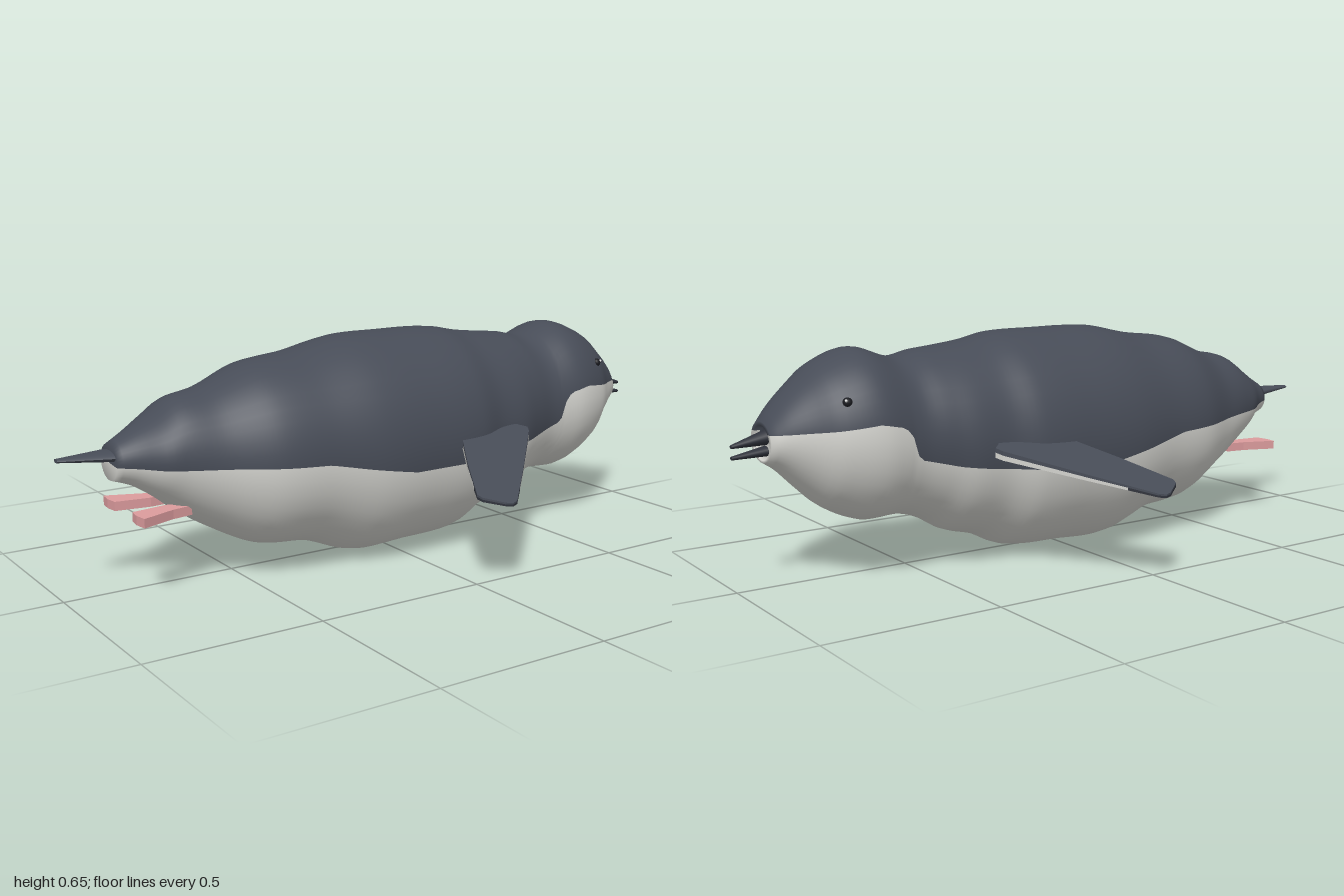
import * as THREE from 'three';

const mat = (name, color, extra = {}) => {
  const m = new THREE.MeshStandardMaterial({ color, ...extra });
  m.name = name;
  return m;
};

// Body stations: x, top height, bottom height, half width
const PROFILE = [
  [-0.855, 0.42, 0.32, 0.055], [-0.80, 0.45, 0.30, 0.085], [-0.74, 0.485, 0.262, 0.13],
  [-0.68, 0.525, 0.215, 0.152], [-0.58, 0.547, 0.15, 0.185], [-0.445, 0.60, 0.083, 0.243],
  [-0.286, 0.622, 0.062, 0.266], [-0.136, 0.652, 0.01, 0.29], [0.03, 0.655, 0.012, 0.292],
  [0.195, 0.652, 0.022, 0.285], [0.29, 0.634, 0.065, 0.256], [0.39, 0.622, 0.094, 0.246],
  [0.46, 0.615, 0.135, 0.225], [0.54, 0.602, 0.16, 0.207], [0.655, 0.635, 0.16, 0.217],
  [0.757, 0.602, 0.207, 0.187], [0.82, 0.556, 0.262, 0.14], [0.88, 0.50, 0.32, 0.098],
  [0.917, 0.455, 0.345, 0.068],
];
// Height of the line between back and belly colours: x, y
const COLOUR_LINE = [
  [-0.86, 0.365], [-0.74, 0.355], [-0.32, 0.34], [-0.2, 0.315], [-0.05, 0.288], [0.2, 0.288],
  [0.33, 0.30], [0.44, 0.315], [0.56, 0.345], [0.572, 0.40], [0.60, 0.435], [0.67, 0.45],
  [0.80, 0.435], [0.92, 0.425],
];

const segment = (table, x) => {
  let i = 0;
  while (i < table.length - 2 && x > table[i + 1][0]) i++;
  return i;
};

function linear(table, x) {
  const i = segment(table, x), a = table[i], b = table[i + 1];
  return THREE.MathUtils.lerp(a[1], b[1], THREE.MathUtils.clamp((x - a[0]) / (b[0] - a[0]), 0, 1));
}

function smooth(table, x, col) {
  const i = segment(table, x), a = table[i], b = table[i + 1], h = b[0] - a[0];
  const slope = (k) => {
    const p = table[Math.max(k - 1, 0)], q = table[Math.min(k + 1, table.length - 1)];
    return (q[col] - p[col]) / (q[0] - p[0]);
  };
  const t = (x - a[0]) / h, t2 = t * t, t3 = t2 * t;
  return (2 * t3 - 3 * t2 + 1) * a[col] + (t3 - 2 * t2 + t) * h * slope(i)
    + (3 * t2 - 2 * t3) * b[col] + (t3 - t2) * h * slope(i + 1);
}

// Rings of ellipses whose points always include the colour line
function bodyGeometry() {
  const rings = [[-0.855, 0.37, 0.0005, 0.0005]];
  const steps = 110, x0 = -0.855, x1 = 0.917;
  for (let i = 0; i <= steps; i++) {
    const x = x0 + (x1 - x0) * i / steps;
    const top = smooth(PROFILE, x, 1), bottom = smooth(PROFILE, x, 2);
    rings.push([x, (top + bottom) / 2, (top - bottom) / 2, smooth(PROFILE, x, 3)]);
  }
  // rim and shallow socket around the beak
  rings.push([0.917, 0.398, 0.046, 0.054], [0.905, 0.396, 0.042, 0.05], [0.905, 0.396, 0.0005, 0.0005]);

  const half = 10, n = half * 4, pos = [], back = [], belly = [];
  for (const [x, cy, ry, rz] of rings) {
    const split = Math.acos(THREE.MathUtils.clamp((linear(COLOUR_LINE, x) - cy) / ry, -0.9, 0.9));
    for (let j = 0; j < n; j++) {
      const k = j <= 2 * half ? j : n - j;
      const a = k <= half ? split * k / half : split + (Math.PI - split) * (k - half) / half;
      const side = j <= 2 * half ? 1 : -1;
      pos.push(x, cy + ry * Math.cos(a), side * rz * Math.sin(a));
    }
  }
  for (let i = 0; i < rings.length - 1; i++) {
    for (let j = 0; j < n; j++) {
      const j2 = (j + 1) % n, a = i * n + j, d = i * n + j2, b = a + n, c = d + n;
      (j < half || j >= 3 * half ? back : belly).push(a, d, b, b, d, c);
    }
  }
  const g = new THREE.BufferGeometry();
  g.setAttribute('position', new THREE.Float32BufferAttribute(pos, 3));
  g.setIndex([...back, ...belly]);
  g.addGroup(0, back.length, 0);
  g.addGroup(back.length, belly.length, 1);
  g.computeVertexNormals();
  return g;
}

// Flat plate from an outline in x and outward z, lying between two heights
function plate(outline, side, low, high, bend) {
  const shape = new THREE.Shape(outline.map(([x, z]) => new THREE.Vector2(x, -side * z)));
  const g = new THREE.ExtrudeGeometry(shape, { depth: 1, bevelEnabled: false });
  g.rotateX(-Math.PI / 2);
  const p = g.attributes.position;
  for (let i = 0; i < p.count; i++) {
    const { y, thin } = bend(p.getX(i), Math.abs(p.getZ(i)));
    p.setY(i, y + thin * THREE.MathUtils.lerp(low, high, p.getY(i)));
  }
  g.computeVertexNormals();
  return g;
}

// Tapered round spike along x, from base to tip
function spike(x0, y0, ry0, rz0, x1, y1, ry1, rz1) {
  const g = new THREE.CylinderGeometry(1, 1, 1, 14, 6);
  const p = g.attributes.position, L = THREE.MathUtils.lerp;
  for (let i = 0; i < p.count; i++) {
    const t = p.getY(i) + 0.5, u = p.getX(i), w = p.getZ(i);
    p.setXYZ(i, L(x0, x1, t), L(y0, y1, t) - u * L(ry0, ry1, t) * Math.sign(x1 - x0), w * L(rz0, rz1, t));
  }
  g.computeVertexNormals();
  return g;
}

export function createModel() {
  const slate = mat('slate back', 0x474c57);
  const white = mat('pale belly', 0xd2d2cd);
  const dark = mat('dark beak', 0x2f323b);
  const pink = mat('pink feet', 0xdb9b9d);
  const black = mat('black eye', 0x1a1b20);
  const glint = mat('eye glint', 0xf4f4f4);

  const model = new THREE.Group();
  model.name = 'penguin';
  const add = (name, geometry, material, parent = model) => {
    const mesh = new THREE.Mesh(geometry, material);
    mesh.name = name;
    parent.add(mesh);
    return mesh;
  };

  add('body', bodyGeometry(), [slate, white]);
  add('upperBeak', spike(0.895, 0.414, 0.022, 0.028, 1.0, 0.396, 0.005, 0.007), dark);
  add('lowerBeak', spike(0.895, 0.377, 0.015, 0.024, 1.0, 0.366, 0.005, 0.007), dark);
  add('tail', spike(-0.83, 0.388, 0.017, 0.055, -1.0, 0.393, 0.005, 0.013), slate);

  // Flippers slope down and get thinner outward
  const flipperBend = (x, z) => ({
    y: 0.353 - 0.31 * (z - 0.275),
    thin: THREE.MathUtils.lerp(1, 0.35, THREE.MathUtils.clamp((z - 0.25) / 0.35, 0, 1)),
  });
  const whole = [[0.30, 0.20], [0.345, 0.255], [0.365, 0.272], [0.355, 0.292], [0.20, 0.452], [0.06, 0.592],
    [0.04, 0.60], [0.02, 0.593], [-0.03, 0.555], [-0.035, 0.538], [0.04, 0.40], [0.11, 0.285], [0.14, 0.20]];
  const inner = [[0.30, 0.20], [0.345, 0.255], [0.365, 0.272], [0.355, 0.292], [0.20, 0.452], [0.118, 0.534],
    [-0.012, 0.495], [0.04, 0.40], [0.11, 0.285], [0.14, 0.20]];
  const tip = [[0.118, 0.534], [0.06, 0.592], [0.04, 0.60], [0.02, 0.593], [-0.03, 0.555], [-0.035, 0.538],
    [-0.012, 0.495]];
  const foot = [[-0.66, 0.05], [-0.72, 0.045], [-0.82, 0.06], [-0.825, 0.098], [-0.82, 0.138], [-0.72, 0.10],
    [-0.66, 0.09]];
  const footBend = () => ({ y: 0.228, thin: 1 });

  for (const [name, side] of [['left', -1], ['right', 1]]) {
    const flipper = new THREE.Group();
    flipper.name = name + 'Flipper';
    model.add(flipper);
    add('flipperTop', plate(whole, side, 0, 0.013, flipperBend), slate, flipper);
    add('flipperUnderside', plate(inner, side, -0.015, 0, flipperBend), white, flipper);
    add('flipperTip', plate(tip, side, -0.015, 0, flipperBend), dark, flipper);

    add(name + 'Foot', plate(foot, side, -0.013, 0.013, footBend), pink);

    const eye = add(name + 'Eye', new THREE.SphereGeometry(0.013, 14, 10), black);
    eye.position.set(0.745, 0.51, side * 0.161);
    const shine = add(name + 'EyeGlint', new THREE.SphereGeometry(0.004, 8, 6), glint);
    shine.position.set(0.753, 0.516, side * 0.170);
  }
  return model;
}
